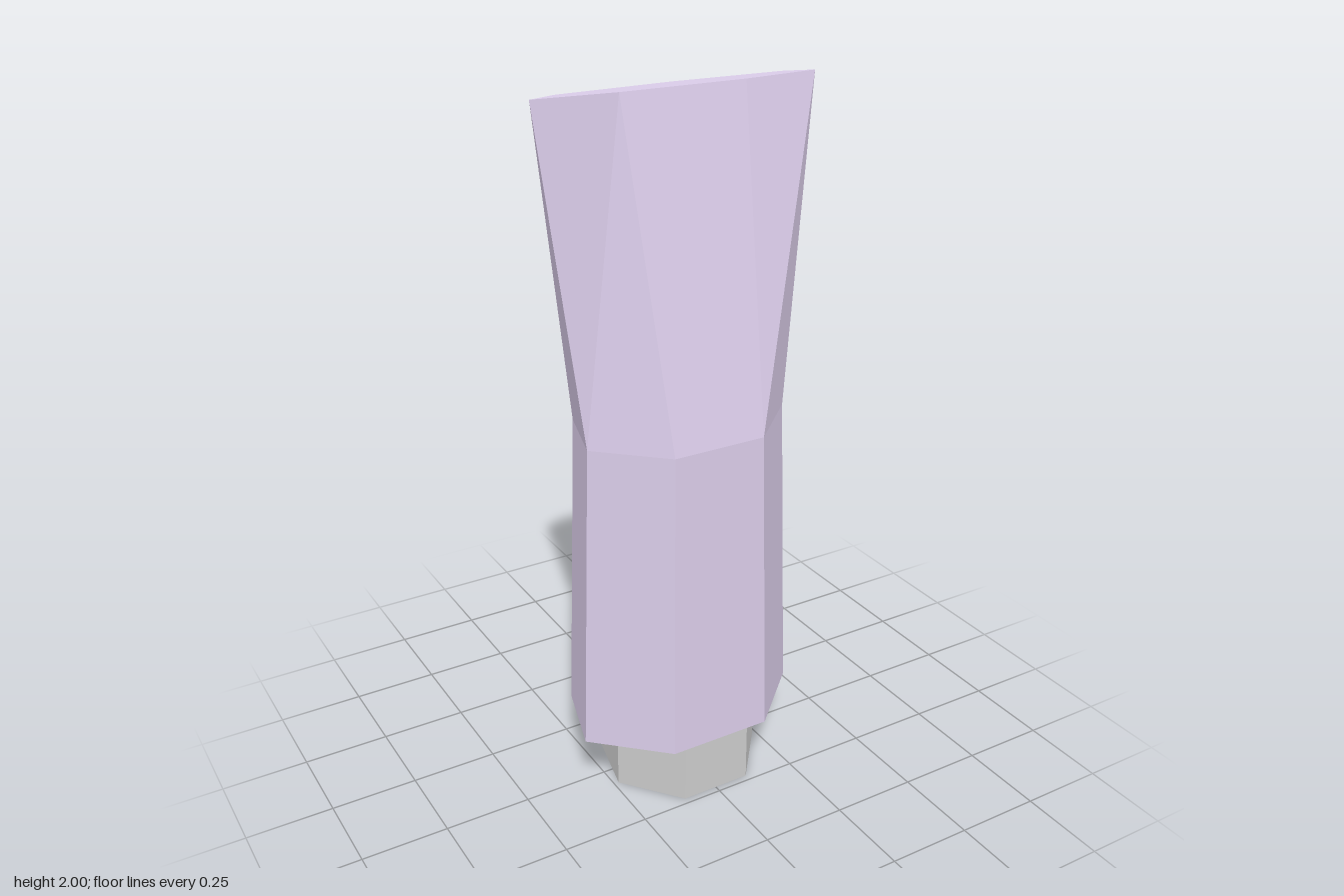
import * as THREE from 'three';

const SIDES = 7;
const Z_SHIFT = 0.0115; // centres the heptagon front to back

// Seven-sided column with a corner at the back; rings run from top to bottom.
function column(name, color, rings) {
  const geo = new THREE.CylinderGeometry(1, 1, 1, SIDES, rings.length - 1, false, Math.PI);
  const pos = geo.attributes.position;
  for (let i = 0; i < pos.count; i++) {
    const ring = rings[Math.round((0.5 - pos.getY(i)) * (rings.length - 1))];
    pos.setXYZ(i, pos.getX(i) * ring.rx, ring.y, pos.getZ(i) * ring.rz + Z_SHIFT);
  }
  geo.computeVertexNormals();
  const mesh = new THREE.Mesh(geo, new THREE.MeshStandardMaterial({ color, flatShading: true }));
  mesh.name = name;
  return mesh;
}

export function createModel() {
  const model = new THREE.Group();
  model.name = 'squeezedTube';

  // Grey cap the tube stands on
  model.add(column('cap', 0xcccccc, [
    { y: 0.19, rx: 0.242, rz: 0.242 },
    { y: 0, rx: 0.242, rz: 0.242 },
  ]));

  // Tube body, flattened into a wide crimp at the top
  model.add(column('tubeBody', 0xd9cbe8, [
    { y: 2, rx: 0.42, rz: 0.0316 },
    { y: 1.095, rx: 0.316, rz: 0.24 },
    { y: 0.19, rx: 0.351, rz: 0.266 },
  ]));

  return model;
}
